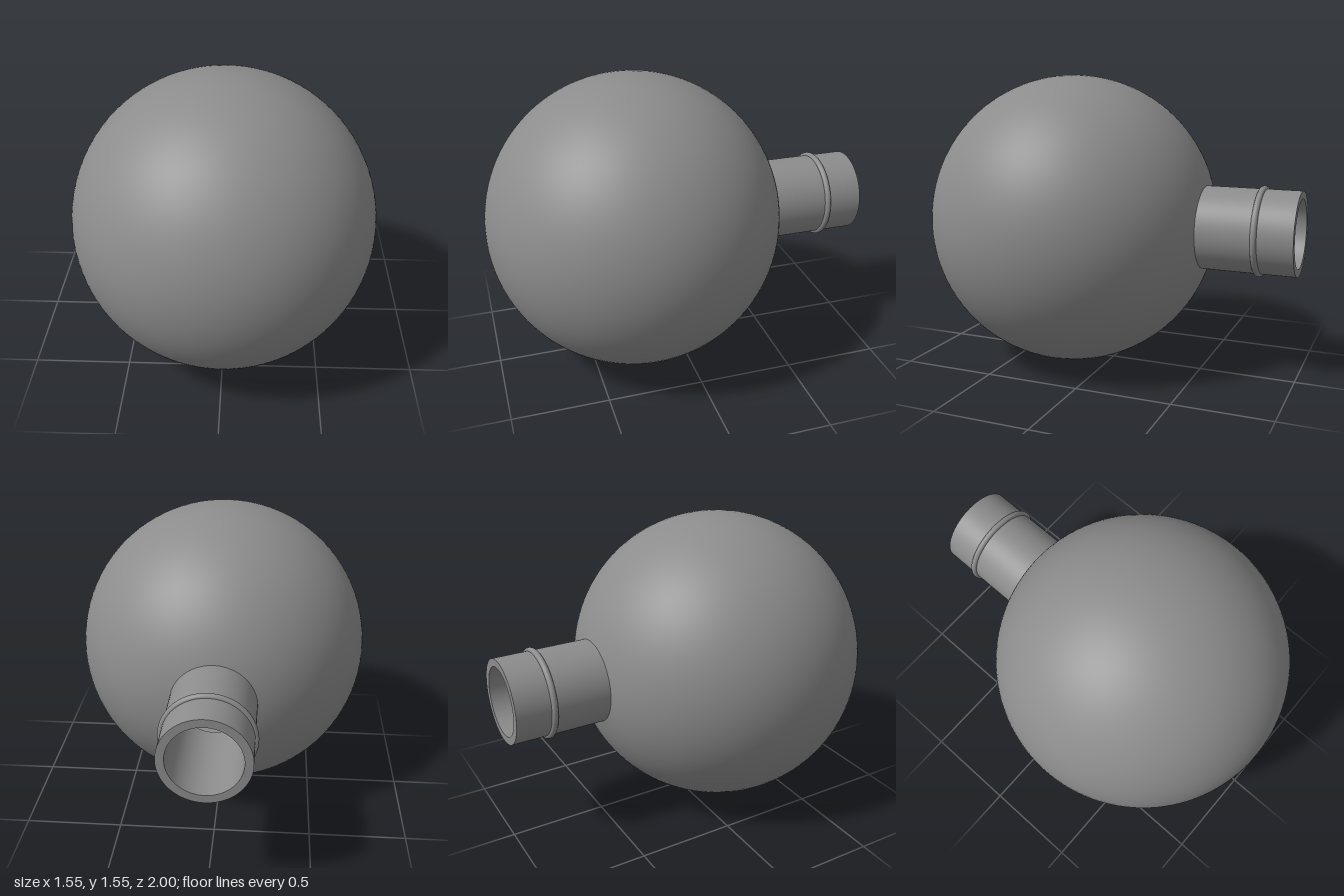
import * as THREE from 'three';

const R = 0.773;         // globe radius
const WALL = 0.04;       // shell thickness
const NECK = 0.215;      // neck outer radius
const BORE = NECK - WALL;
const TIP = 1.227;       // neck end, measured from the globe centre

export function createModel() {
  const grey = new THREE.MeshStandardMaterial({ color: 0x8c8c8c });
  grey.name = 'grey';

  const model = new THREE.Group();
  model.name = 'globeFlask';

  // Everything is turned about one axis, from the globe centre out through the neck
  const body = new THREE.Group();
  body.name = 'flaskBody';
  body.position.set(0, R, 0.227);
  body.rotation.x = -Math.PI / 2;
  model.add(body);

  const add = (name, geometry) => {
    const mesh = new THREE.Mesh(geometry, grey);
    mesh.name = name;
    body.add(mesh);
    return mesh;
  };
  const turn = (name, points) =>
    add(name, new THREE.LatheGeometry(points.map(([r, y]) => new THREE.Vector2(r, y)), 96));

  // Arc from the closed pole up to the neck opening
  const globeArc = (radius, opening, steps = 64) => {
    const end = Math.PI - Math.asin(opening / radius);
    return Array.from({ length: steps + 1 }, (_, i) => {
      const a = (end * i) / steps;
      return [radius * Math.sin(a), -radius * Math.cos(a)];
    });
  };

  const outerArc = globeArc(R, NECK);
  const innerArc = globeArc(R - WALL, BORE);
  const outerJoin = outerArc[outerArc.length - 1][1];
  const innerJoin = innerArc[innerArc.length - 1][1];

  // Globe shell, outside and inside
  turn('globe', outerArc);
  turn('globeInside', innerArc.reverse());

  // Hollow neck with a flat rim
  turn('neck', [[NECK, outerJoin], [NECK, TIP]]);
  turn('neckRim', [[NECK, TIP], [BORE, TIP]]);
  turn('neckBore', [[BORE, TIP], [BORE, innerJoin]]);

  // Raised bead around the neck
  const bead = add('neckBead', new THREE.TorusGeometry(NECK, 0.016, 16, 96));
  bead.rotation.x = Math.PI / 2;
  bead.position.y = 1.035;

  return model;
}
